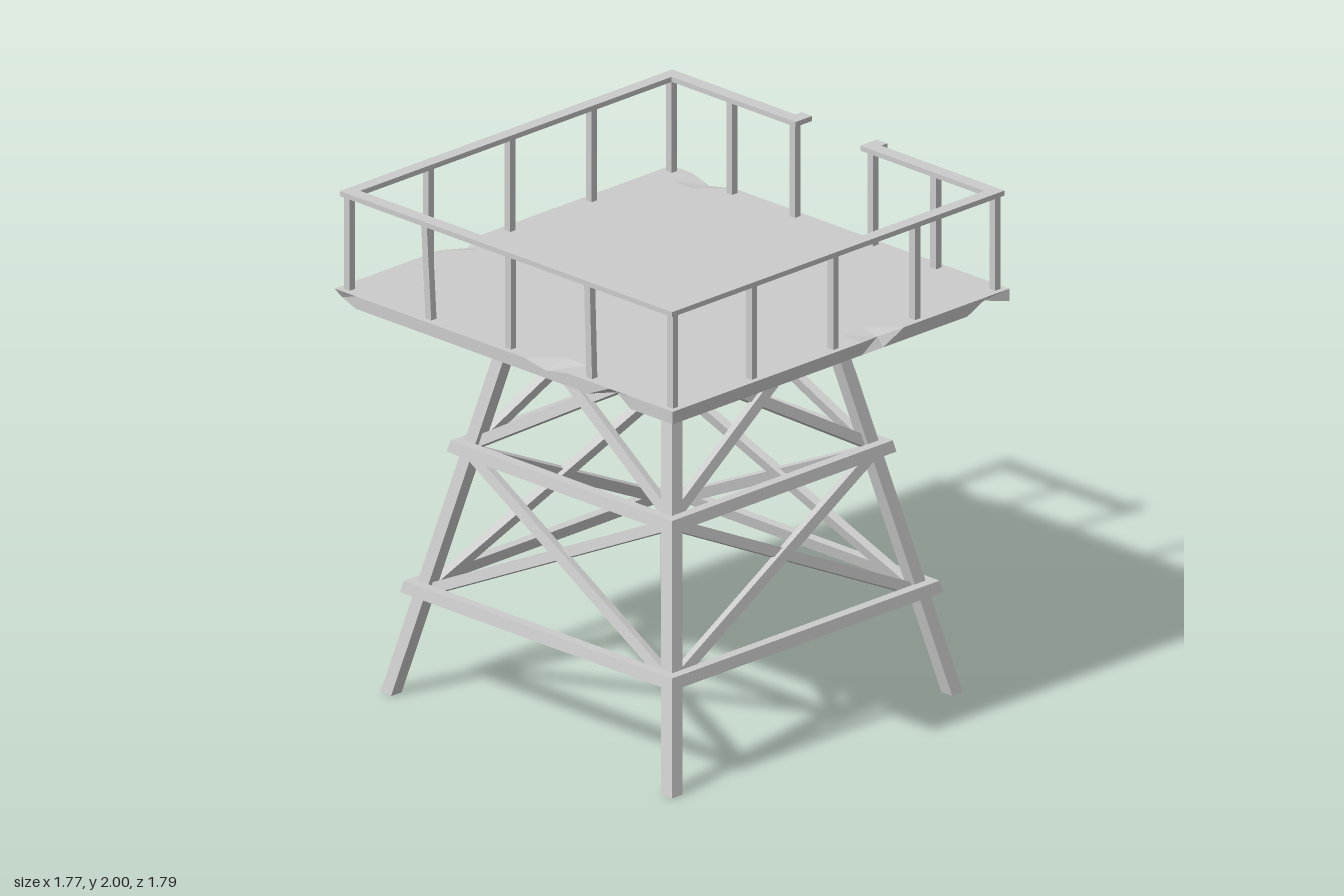
import * as THREE from 'three';

const material = new THREE.MeshStandardMaterial({ color: 0xcccccc, flatShading: true });

function add(parent, geometry, name) {
  const flat = geometry.toNonIndexed();
  flat.computeVertexNormals();
  const mesh = new THREE.Mesh(flat, material);
  mesh.name = name;
  parent.add(mesh);
  return mesh;
}

// Move every vertex of a geometry by a rule (x, y, z) -> [x, y, z]
function warp(geometry, rule) {
  const p = geometry.attributes.position;
  for (let i = 0; i < p.count; i++) p.setXYZ(i, ...rule(p.getX(i), p.getY(i), p.getZ(i)));
  return geometry;
}

const unitBox = () => new THREE.BoxGeometry(2, 2, 2);   // corners at +-1

// Axis-aligned box from its limits
function block(parent, name, x0, x1, y0, y1, z0, z1) {
  const g = new THREE.BoxGeometry(x1 - x0, y1 - y0, z1 - z0);
  g.translate((x0 + x1) / 2, (y0 + y1) / 2, (z0 + z1) / 2);
  return add(parent, g, name);
}

const SLOPE = 0.22;
const legCentre = y => 0.737 - SLOPE * y;
const LEG_HALF = 0.028;

// One side of a mitred band running round the outside of the legs
function band(parent, y0, y1) {
  add(parent, warp(unitBox(), (sx, sy, sz) => {
    const y = sy < 0 ? y0 : y1;
    const r = legCentre(y) + LEG_HALF + (sz > 0 ? 0.037 : -0.003);
    return [sx * r, y, r];
  }), 'band');
}

// Diagonal brace lying in the sloping side plane
function brace(parent, x0, y0, x1, y1, offset) {
  const a = new THREE.Vector3(x0, y0, legCentre(y0));
  const b = new THREE.Vector3(x1, y1, legCentre(y1));
  const n = new THREE.Vector3(0, SLOPE, 1).normalize();
  const w = b.clone().sub(a).cross(n).normalize();
  add(parent, warp(unitBox(), (sx, sy, sz) =>
    (sx < 0 ? a : b).clone()
      .addScaledVector(w, -sy * 0.021)
      .addScaledVector(n, sz * 0.017 + offset).toArray()), 'brace');
}

function createTower() {
  const tower = new THREE.Group();
  tower.name = 'tower';
  tower.position.z = 0.012;

  // Four splayed legs with level feet
  for (const mx of [-1, 1]) for (const mz of [-1, 1]) {
    add(tower, warp(unitBox(), (sx, sy, sz) => {
      const y = sy < 0 ? 0 : 1.56;
      const c = legCentre(y);
      return [mx * c + sx * LEG_HALF, y, mz * c + sz * LEG_HALF];
    }), 'leg');
  }

  // Bands and crossed braces, repeated on each side
  for (let i = 0; i < 4; i++) {
    const side = new THREE.Group();
    side.name = 'towerSide';
    side.rotation.y = i * Math.PI / 2;
    const m = i % 2 ? -1 : 1;
    band(side, 0.4, 0.445);
    band(side, 0.96, 1.005);
    band(side, 1.527, 1.56);
    for (const s of [1, -1]) {
      brace(side, -s * m * 0.53, 0.965, s * m * 0.61, 0.425, s * 0.01);
      brace(side, -s * m * 0.4, 1.525, s * m * 0.51, 1.0, s * 0.01);
    }
    tower.add(side);
  }
  return tower;
}

// Plank deck with a few chipped edges: [x, y, z of edge point, then its shift]
function createPlatform() {
  const chips = [
    [0.22, 1, 0.885, 0, -0.02, 0],
    [0.555, -1, 0.885, 0, 0.025, -0.04],
    [-0.887, -1, 0.885, 0.02, 0.015, -0.02],
    [0.887, 1, -0.22, -0.03, -0.015, 0],
    [-0.887, 1, 0.22, 0.03, -0.015, 0],
    [0.887, -1, -0.77, -0.03, 0.025, 0],
    [-0.66, 1, -0.885, 0, -0.015, 0.02],
  ];
  const g = warp(new THREE.BoxGeometry(1.775, 0.05, 1.77, 16, 1, 16), (x, y, z) => {
    for (const [cx, cy, cz, dx, dy, dz] of chips) {
      if (Math.hypot(x - cx, z - cz) < 0.05 && y * cy > 0) return [x + dx, y + dy, z + dz];
    }
    return [x, y, z];
  });
  g.translate(0, 1.585, 0.01);
  return g;
}

function createRailing() {
  const railing = new THREE.Group();
  railing.name = 'railing';

  // Top rails, open at the back for access
  const y0 = 1.98, y1 = 2;
  block(railing, 'frontRail', -0.872, 0.872, y0, y1, 0.828, 0.883);
  for (const s of [-1, 1]) {
    const span = (a, b) => s > 0 ? [a, b] : [-b, -a];
    block(railing, 'sideRail', ...span(0.82, 0.872), y0, y1, -0.81, 0.828);
    block(railing, 'backRail', ...span(0.225, 0.872), y0, y1, -0.865, -0.81);
    block(railing, 'railEnd', ...span(0.17, 0.225), y0, y1, -0.897, -0.81);
  }

  // Upright posts, a few of them slightly crooked
  const post = (x, z, lean = 0) => add(railing, warp(unitBox(), (sx, sy, sz) => [
    x + sx * 0.015 + sy * lean, sy < 0 ? 1.605 : 1.985, z + sz * 0.014,
  ]), 'post');
  [-0.847, -0.43, 0, 0.42, 0.85].forEach((x, i) => post(x, 0.858, [0, -0.012, 0, -0.006, 0][i]));
  for (const x of [-0.847, -0.53, -0.2, 0.21, 0.54, 0.85]) post(x, -0.836);
  for (const x of [-0.847, 0.85]) for (const z of [0.443, 0.014, -0.415]) post(x, z);
  return railing;
}

export function createModel() {
  const model = new THREE.Group();
  model.name = 'watchtower';
  model.add(createTower());
  add(model, createPlatform(), 'platform');
  model.add(createRailing());

  // Ladder stubs below the opening at the back
  for (const x of [-0.198, 0.198]) {
    add(model, warp(unitBox(), (sx, sy, sz) => [
      x + sx * 0.027,
      sy < 0 ? 1.54 : 1.585,
      (sz < 0 ? -0.897 : -0.868) + (sy > 0 ? 0.012 : 0),
    ]), 'ladderStub');
  }
  return model;
}
